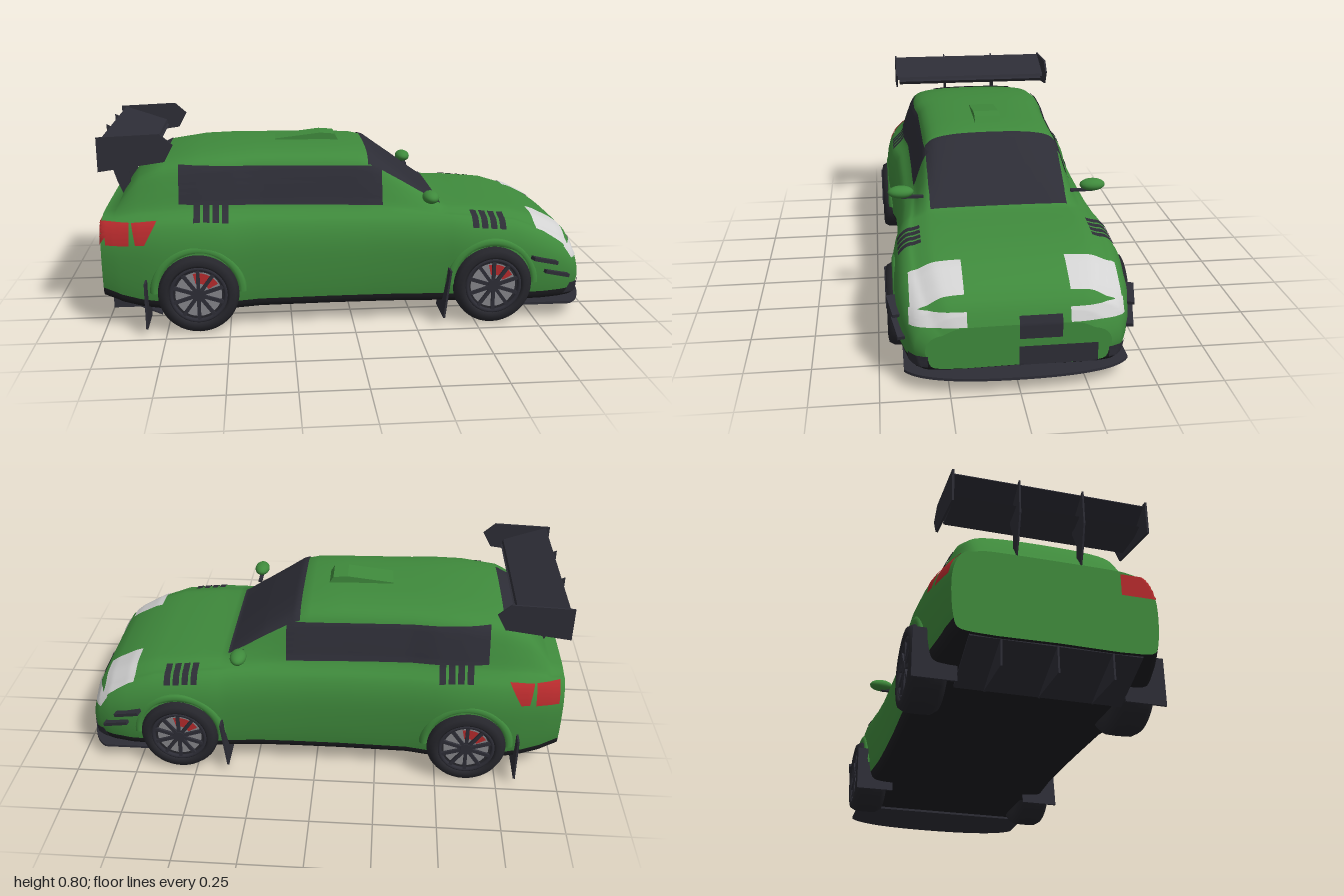
import * as THREE from 'three';

const mat = (name, color, side = THREE.FrontSide) => {
  const m = new THREE.MeshStandardMaterial({ color, side });
  m.name = name;
  return m;
};

export function createModel() {
  const green = mat('green paint', 0x3f8a3c, THREE.DoubleSide);
  const dark = mat('dark trim', 0x2d2d36, THREE.DoubleSide);
  const black = mat('black underside', 0x1d1d21);
  const rubber = mat('rubber', 0x26262c);
  const white = mat('headlight white', 0xd2d2d2, THREE.DoubleSide);
  const red = mat('red', 0xb52a2c, THREE.DoubleSide);
  const grey = mat('brake grey', 0x85858a);
  const car = new THREE.Group();
  car.name = 'car';
  const add = (name, geo, material, x = 0, y = 0, z = 0, parent = car) => {
    const m = new THREE.Mesh(geo, material);
    m.name = name;
    m.position.set(x, y, z);
    parent.add(m);
    return m;
  };
  // flat side-on plate, extruded along z and centred on it
  const plate = (pts, depth) => {
    const s = new THREE.Shape(pts.map(p => new THREE.Vector2(...p)));
    return new THREE.ExtrudeGeometry(s, { depth, bevelEnabled: false }).translate(0, 0, -depth / 2);
  };

  // body stations: x, half width, floor, shoulder, top
  const stations = [
    [-1, .375, .13, .44, .455], [-.95, .392, .115, .445, .468], [-.925, .398, .105, .45, .52],
    [-.85, .415, .09, .46, .62], [-.75, .432, .08, .465, .672], [-.6, .437, .075, .47, .695],
    [-.48, .432, .075, .468, .7], [-.38, .412, .075, .465, .702], [-.1, .405, .075, .46, .7],
    [.03, .405, .075, .457, .695], [.09, .405, .075, .455, .68], [.22, .407, .075, .45, .583],
    [.36, .418, .075, .442, .472], [.4, .426, .075, .44, .462], [.48, .435, .075, .435, .46],
    [.66, .437, .075, .415, .445], [.78, .43, .075, .37, .41], [.86, .412, .075, .33, .37],
    [.91, .39, .075, .29, .335], [.935, .37, .08, .25, .29], [.95, .335, .09, .22, .25]];
  const steps = 3;
  const section = ([x, w, yb, yB, yR]) => {
    const H = yB - yb, h = yR - yB;
    const half = [
      [0, yb], [.8 * w, yb], [.94 * w, yb + .012], [.975 * w, yb + .045], [w, yb + .5 * H],
      [.985 * w, yb + .75 * H], [.93 * w, yb + .92 * H], [.86 * w, yB], [.81 * w, yB + .12 * h],
      [.75 * w, yB + .45 * h], [.68 * w, yB + .78 * h], [.6 * w, yB + .9 * h],
      [.42 * w, yB + .97 * h], [.2 * w, yR - .005 * h], [0, yR]];
    const c = new THREE.CatmullRomCurve3(half.map(([z, y]) => new THREE.Vector3(x, y, z)));
    const p = c.getPoints((half.length - 1) * steps);
    return [...p, ...p.slice(1, -1).reverse().map(v => new THREE.Vector3(v.x, v.y, -v.z))];
  };
  const rings = stations.map(section), n = rings[0].length, floorCols = 3 * steps;
  const pos = [], paintIdx = [], floorIdx = [];
  rings.forEach(r => r.forEach(v => pos.push(v.x, v.y, v.z)));
  for (let i = 0; i < rings.length - 1; i++) for (let j = 0; j < n; j++) {
    const k = (j + 1) % n, a = i * n + j, c = i * n + k;
    const list = j < floorCols || j >= n - floorCols ? floorIdx : paintIdx;
    list.push(a, a + n, c, a + n, c + n, c);
  }
  // flat nose and tail
  [[rings[0], false], [rings.at(-1), true]].forEach(([r, nose]) => {
    const base = pos.length / 3;
    r.forEach(v => pos.push(v.x, v.y, v.z));
    pos.push(r[0].x, .2, 0);
    for (let j = 0; j < n; j++) {
      const a = base + j, b = base + (j + 1) % n;
      paintIdx.push(base + n, nose ? b : a, nose ? a : b);
    }
  });
  const bodyGeo = new THREE.BufferGeometry();
  bodyGeo.setAttribute('position', new THREE.Float32BufferAttribute(pos, 3));
  bodyGeo.setIndex([...paintIdx, ...floorIdx]);
  bodyGeo.addGroup(0, paintIdx.length, 0);
  bodyGeo.addGroup(paintIdx.length, floorIdx.length, 1);
  bodyGeo.computeVertexNormals();
  const body = add('body', bodyGeo, [green, black]);
  body.updateMatrixWorld(true);

  // thin panel laid on the body: a four-cornered patch projected along one axis
  const ray = new THREE.Raycaster();
  const aim = {
    side: (u, v, s) => [[u, v, 2 * s], [0, 0, -s]],
    top: (u, v, s) => [[u, 2, v * s], [0, -1, 0]],
    nose: (u, v, s) => [[2, v, u * s], [-1, 0, 0]],
    tail: (u, v, s) => [[-2, v, u * s], [1, 0, 0]],
  };
  const panel = (name, material, dir, [A, B, C, D], s = 1, N = 16) => {
    const pts = [], ok = [], idx = [];
    for (let i = 0; i <= N; i++) for (let j = 0; j <= N; j++) {
      const f = i / N, g = j / N;
      const mix = k => (A[k] * (1 - f) + B[k] * f) * (1 - g) + (D[k] * (1 - f) + C[k] * f) * g;
      const [o, d] = aim[dir](mix(0), mix(1), s);
      ray.set(new THREE.Vector3(...o), new THREE.Vector3(...d));
      const hit = ray.intersectObject(body)[0];
      ok.push(!!hit);
      const p = hit ? hit.point.addScaledVector(hit.face.normal, .004) : new THREE.Vector3();
      pts.push(p.x, p.y, p.z);
    }
    for (let i = 0; i < N; i++) for (let j = 0; j < N; j++) {
      const a = i * (N + 1) + j, b = a + N + 1;
      if (ok[a] && ok[b] && ok[a + 1] && ok[b + 1]) idx.push(a, b, a + 1, b, b + 1, a + 1);
    }
    const g = new THREE.BufferGeometry();
    g.setAttribute('position', new THREE.Float32BufferAttribute(pts, 3));
    g.setIndex(idx);
    g.computeVertexNormals();
    add(name, g, material);
  };
  const rect = (u0, u1, v0, v1) => [[u0, v0], [u1, v0], [u1, v1], [u0, v1]];

  panel('windshield', dark, 'top', rect(.07, .37, -.275, .275), 1, 36);
  panel('rearWindow', dark, 'top', rect(-.82, -.745, -.19, .19));
  panel('upperGrille', dark, 'nose', rect(-.155, 0, .195, .28));
  panel('lowerGrille', dark, 'nose', rect(-.285, 0, .09, .165));
  panel('rearLight', red, 'tail', rect(.24, .37, .355, .44));

  for (const s of [1, -1]) {
    panel('sideWindow', dark, 'side', [[-.69, .505], [.125, .478], [.125, .63], [-.69, .65]], s, 36);
    panel('headlightTop', white, 'top', rect(.75, .89, .19, .38), s);
    panel('headlightFront', white, 'nose', rect(.185, .385, .25, .3), s);
    panel('bumperVent', dark, 'nose', rect(.325, .39, .1, .145), s);
    panel('tailLight', red, 'side', rect(-.98, -.885, .355, .44), s);
    panel('tailLightTip', red, 'side', [[-.86, .36], [-.825, .36], [-.775, .45], [-.875, .44]], s);
    for (let i = 0; i < 4; i++) {
      const r = -.632 + i * .037, f = .482 + i * .037;
      panel('rearVent', dark, 'top', rect(r, r + .026, .345, .402), s, 8);
      panel('frontVent', dark, 'top', rect(f, f + .026, .325, .41), s, 8);
    }

    // front canards
    [[.775, .26, .43], [.83, .2, .415]].forEach(([x, y, z]) => {
      const c = add('canard', new THREE.BoxGeometry(.11, .014, .05), dark, x, y, s * z);
      c.rotation.set(0, s * .2, -.25);
    });

    // mirrors
    const cap = add('mirror', new THREE.SphereGeometry(1, 20, 14), green, .31, .524, s * .39);
    cap.scale.set(.033, .025, .052);
    add('mirrorStalk', new THREE.BoxGeometry(.016, .01, .09), dark, .31, .502, s * .345);

    // mud flaps
    const flap = add('frontMudFlap', new THREE.BoxGeometry(.008, .2, .16), dark, .375, .135, s * .388);
    flap.rotation.z = -.12;
    add('rearMudFlap', new THREE.BoxGeometry(.008, .19, .16), dark, -.825, .125, s * .388);

    // wheels, built facing +z and turned for the far side
    for (const x of [-.62, .565]) {
      add('wheelArch', new THREE.TorusGeometry(.172, .02, 8, 32, Math.PI), green, x, .165, s * .418);
      const wheel = new THREE.Group();
      wheel.name = 'wheel';
      wheel.position.set(x, .162, 0);
      if (s < 0) wheel.rotation.y = Math.PI;
      car.add(wheel);
      const profile = [[.115, .32], [.145, .322], [.16, .345], [.162, .39], [.16, .437],
        [.148, .458], [.125, .462], [.115, .455], [.113, .435]];
      const tyre = new THREE.LatheGeometry(profile.map(p => new THREE.Vector2(...p)), 40);
      add('tyre', tyre.rotateX(Math.PI / 2), dark, 0, 0, 0, wheel).material = rubber;
      const disc = (name, r, z, d, m) =>
        add(name, new THREE.CylinderGeometry(r, r, d, 32).rotateX(Math.PI / 2), m, 0, 0, z, wheel);
      disc('wheelBack', .116, .38, .12, rubber);
      disc('brakeDisc', .092, .435, .014, grey);
      disc('hub', .024, .448, .02, dark);
      add('rim', new THREE.TorusGeometry(.108, .009, 8, 40), dark, 0, 0, .448, wheel);
      const caliper = new THREE.RingGeometry(.045, .088, 12, 1, .5, 1.3);
      add('brakeCaliper', caliper, red, 0, 0, .4445, wheel).rotation.y = 0;
      for (let i = 0; i < 10; i++) {
        const spoke = new THREE.BoxGeometry(.014, .09, .01).translate(0, .062, 0);
        add('spoke', spoke, dark, 0, 0, .45, wheel).rotation.z = i * Math.PI / 5;
      }
    }

    // wing end plates and supports
    add('wingEndPlate', plate([[-.99, .785], [-.75, .795], [-.7, .75], [-.735, .685], [-.99, .65]], .008),
      dark, 0, 0, s * .371);
    add('wingSupport', plate([[-.985, .79], [-.88, .74], [-.87, .67], [-.905, .6], [-.9, .54], [-.93, .49],
      [-.955, .55], [-.985, .65]], .007), dark, 0, 0, s * .122);
  }

  // rear wing
  add('mainWing', plate([[-.975, .775], [-.97, .782], [-.86, .745], [-.79, .72], [-.785, .708],
    [-.83, .71], [-.9, .728]], .74), dark);
  add('lowerWing', plate([[-.95, .7], [-.83, .71], [-.78, .7], [-.79, .685], [-.9, .685]], .715), dark);

  // roof scoop
  add('roofScoop', plate([[-.3, .69], [-.3, .706], [-.11, .728], [-.05, .723], [-.03, .69]], .11), green);

  // front splitter, drawn from above
  const lip = new THREE.Shape();
  lip.moveTo(.7, -.41);
  lip.lineTo(.9, -.41);
  lip.bezierCurveTo(.975, -.36, 1, -.2, 1, 0);
  lip.bezierCurveTo(1, .2, .975, .36, .9, .41);
  lip.lineTo(.7, .41);
  const lipGeo = new THREE.ExtrudeGeometry(lip, { depth: .01, bevelEnabled: false, curveSegments: 16 });
  add('frontSplitter', lipGeo.rotateX(Math.PI / 2), dark, 0, .068, 0);

  // rear diffuser
  add('diffuserPlate', plate([[-.99, .13], [-.99, .122], [-.78, .028], [-.78, .036]], .62), dark);
  for (const z of [-.2, 0, .2])
    add('diffuserFin', plate([[-.99, .13], [-.99, .025], [-.78, .025]], .007), dark, 0, 0, z);

  return car;
}
